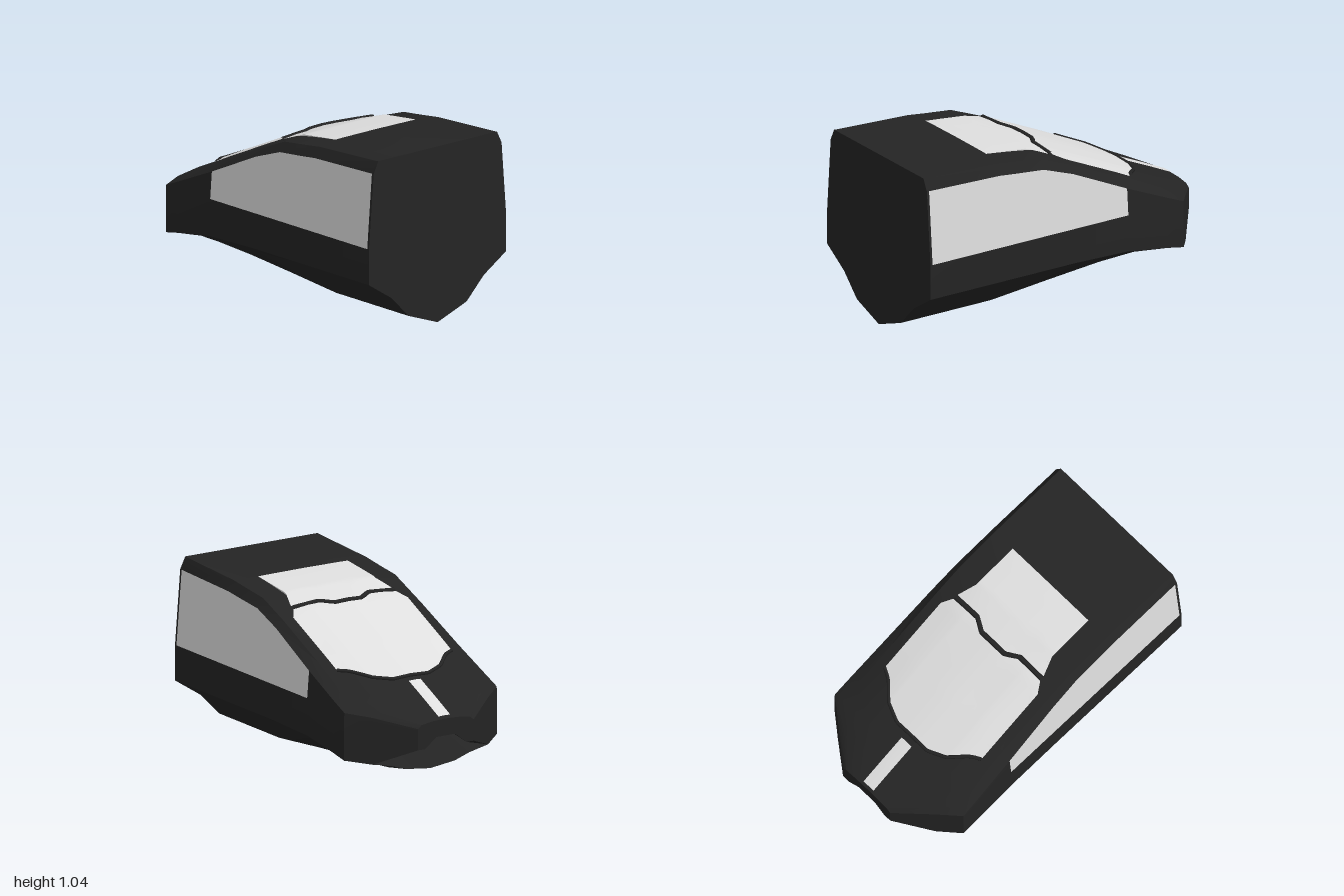
import * as THREE from 'three';
import { toCreasedNormals } from 'three/addons/utils/BufferGeometryUtils.js';

// Stations: z, keelY, chineY, halfWidth, waistY, windowTopY, roofEdgeY, roofCentreY
const stations = [
  [1, 0, 0.32, 0.52, 0.53, 0.97, 1.04, 1.04],
  [0.985, 0, 0.32, 0.52, 0.53, 0.97, 1.038, 1.04],
  [0.5, 0, 0.32, 0.52, 0.53, 0.955, 1.015, 1.02],
  [0.38, 0, 0.32, 0.52, 0.53, 0.942, 1.0, 1.01],
  [0.2, 0.022, 0.32, 0.52, 0.53, 0.925, 0.98, 0.99],
  [0, 0.047, 0.32, 0.52, 0.53, 0.855, 0.9, 0.935],
  [-0.36, 0.091, 0.31, 0.52, 0.53, 0.69, 0.735, 0.775],
  [-0.63, 0.124, 0.27, 0.52, 0.52, 0.575, 0.605, 0.65],
  [-0.74, 0.138, 0.25, 0.52, 0.5, 0.53, 0.555, 0.6],
  [-0.84, 0.15, 0.23, 0.393, 0.48, 0.505, 0.525, 0.555],
  [-1, 0.32, 0.32, 0.19, 0.42, 0.445, 0.465, 0.48],
];
const LAST_WINDOW = 5;

// Half cross-section from the keel up to the roof centre
function section([z, keel, chine, w, waist, winTop, edge, centre]) {
  const k = w / 0.52;
  const low = (f) => keel + (chine - keel) * f;
  const winX = w - 0.08 * k * (winTop - waist);
  return [
    [0, keel, z], [0.22 * k, low(0.25), z], [0.35 * k, low(0.66), z], [w, chine, z],
    [w, waist, z], [winX, winTop, z], [0.45 * k, edge, z],
    [0.2475 * k, edge + 0.75 * (centre - edge), z], [0, centre, z],
  ];
}

// Height of the roof skin at x, z
function roofY(x, z) {
  let i = 0;
  while (i < stations.length - 2 && stations[i + 1][0] > z) i++;
  const a = stations[i], b = stations[i + 1];
  const t = (z - a[0]) / (b[0] - a[0]);
  const mix = (n) => a[n] + (b[n] - a[n]) * t;
  const u = Math.min(1, Math.abs(x) / (0.45 * mix(3) / 0.52));
  const f = u < 0.55 ? 1 - 0.25 * u / 0.55 : 0.75 * (1 - u) / 0.45;
  return mix(6) + f * (mix(7) - mix(6));
}

const quad = (out, a, b, c, d) => out.push(...a, ...b, ...c, ...a, ...c, ...d);
const flip = ([x, y, z]) => [-x, y, z];

function meshFrom(name, positions, material) {
  const g = new THREE.BufferGeometry();
  g.setAttribute('position', new THREE.Float32BufferAttribute(positions, 3));
  const mesh = new THREE.Mesh(toCreasedNormals(g, 0.5), material);
  mesh.name = name;
  return mesh;
}

// Thin plate laid on the roof; columns are [x, frontZ, backZ] for x >= 0, mirrored
function roofPlate(name, columns, material) {
  const cols = [...columns.filter((c) => c[0] > 0).map(([x, a, b]) => [-x, a, b]).reverse(), ...columns];
  const rows = 24, out = [];
  const at = ([x, a, b], r) => {
    const z = a + (b - a) * r / rows;
    return [x, roofY(x, z) + 0.008, z];
  };
  for (let i = 0; i < cols.length - 1; i++) {
    for (let r = 0; r < rows; r++) {
      quad(out, at(cols[i], r), at(cols[i + 1], r), at(cols[i + 1], r + 1), at(cols[i], r + 1));
    }
  }
  return meshFrom(name, out, material);
}

// Trim bar along a mirrored line of [x, z] points on the roof
function roofTrim(name, half, radius, material) {
  const pts = [...half.filter((p) => p[0] > 0).map(([x, z]) => [-x, z]).reverse(), ...half]
    .map(([x, z]) => new THREE.Vector3(x, roofY(x, z) + 0.006, z));
  const path = new THREE.CatmullRomCurve3(pts, false, 'catmullrom', 0.1);
  const mesh = new THREE.Mesh(new THREE.TubeGeometry(path, 48, radius, 6), material);
  mesh.name = name;
  return mesh;
}

export function createModel() {
  const group = new THREE.Group();
  group.name = 'cabin';
  const black = new THREE.MeshStandardMaterial({ color: 0x242424 });
  black.name = 'black shell';
  const glass = new THREE.MeshStandardMaterial({ color: 0xdedede });
  glass.name = 'pale glass';

  // Hull sections, with an extra throat that sinks the intake under the nose
  const rings = stations.map(section);
  const throat = rings[9].map((p) => [...p]);
  throat[0] = [0, 0.34, -0.72];
  throat[1] = [0.15, 0.34, -0.72];
  throat[2] = [0.22, 0.3, -0.74];
  rings.splice(10, 0, throat);
  const nose = rings[11];
  nose[0][1] = nose[1][1] = 0.38;
  nose[1][0] = 0.1;
  nose[2][0] = 0.14;

  // Skin both sides, putting the window band in its own meshes
  const shell = [], leftWindow = [], rightWindow = [];
  for (let i = 0; i < rings.length - 1; i++) {
    for (let j = 0; j < 8; j++) {
      const a = rings[i][j], b = rings[i][j + 1], c = rings[i + 1][j], d = rings[i + 1][j + 1];
      const isGlass = j === 4 && i >= 1 && i <= LAST_WINDOW;
      quad(isGlass ? leftWindow : shell, a, c, d, b);
      quad(isGlass ? rightWindow : shell, flip(b), flip(d), flip(c), flip(a));
    }
  }
  group.add(meshFrom('shell', shell, black));
  group.add(meshFrom('leftWindow', leftWindow, glass));
  group.add(meshFrom('rightWindow', rightWindow, glass));

  // Flat end faces
  const ends = [];
  const cap = (ring, centre, sign) => {
    for (let j = 0; j < 8; j++) {
      const p = ring[j], q = ring[j + 1];
      if (sign > 0) ends.push(...centre, ...p, ...q, ...centre, ...flip(q), ...flip(p));
      else ends.push(...centre, ...q, ...p, ...centre, ...flip(p), ...flip(q));
    }
  };
  cap(rings[0], [0, 0.5, 1], 1);
  cap(nose, [0, 0.43, -1], -1);
  group.add(meshFrom('endFaces', ends, black));

  // Roof glass, windscreen and nose strip
  group.add(roofPlate('roofGlass', [
    [0, 0.47, 0.025], [0.09, 0.47, 0.025], [0.17, 0.47, 0.07], [0.2475, 0.47, 0.07],
    [0.305, 0.47, 0.07], [0.306, 0.18, 0.07], [0.345, 0.075, 0.07],
  ], glass));
  const screen = [
    [0, -0.005, -0.63], [0.09, -0.005, -0.63], [0.12, 0.01, -0.63], [0.17, 0.04, -0.61],
    [0.23, 0.04, -0.585], [0.2475, 0.04, -0.57], [0.32, 0.04, -0.5], [0.35, 0.04, -0.48], [0.39, -0.02, -0.46],
  ];
  group.add(roofPlate('windscreen', screen, glass));
  group.add(roofPlate('noseStrip', [[0, -0.68, -0.985], [0.04, -0.68, -0.985]], glass));

  // Trim across the top and bottom of the windscreen
  group.add(roofTrim('headerBar', [[0, 0.01], [0.09, 0.01], [0.17, 0.055], [0.345, 0.055]], 0.015, black));
  group.add(roofTrim('screenSill', screen.map(([x, , z]) => [x, z - 0.008]), 0.011, black));
  return group;
}
